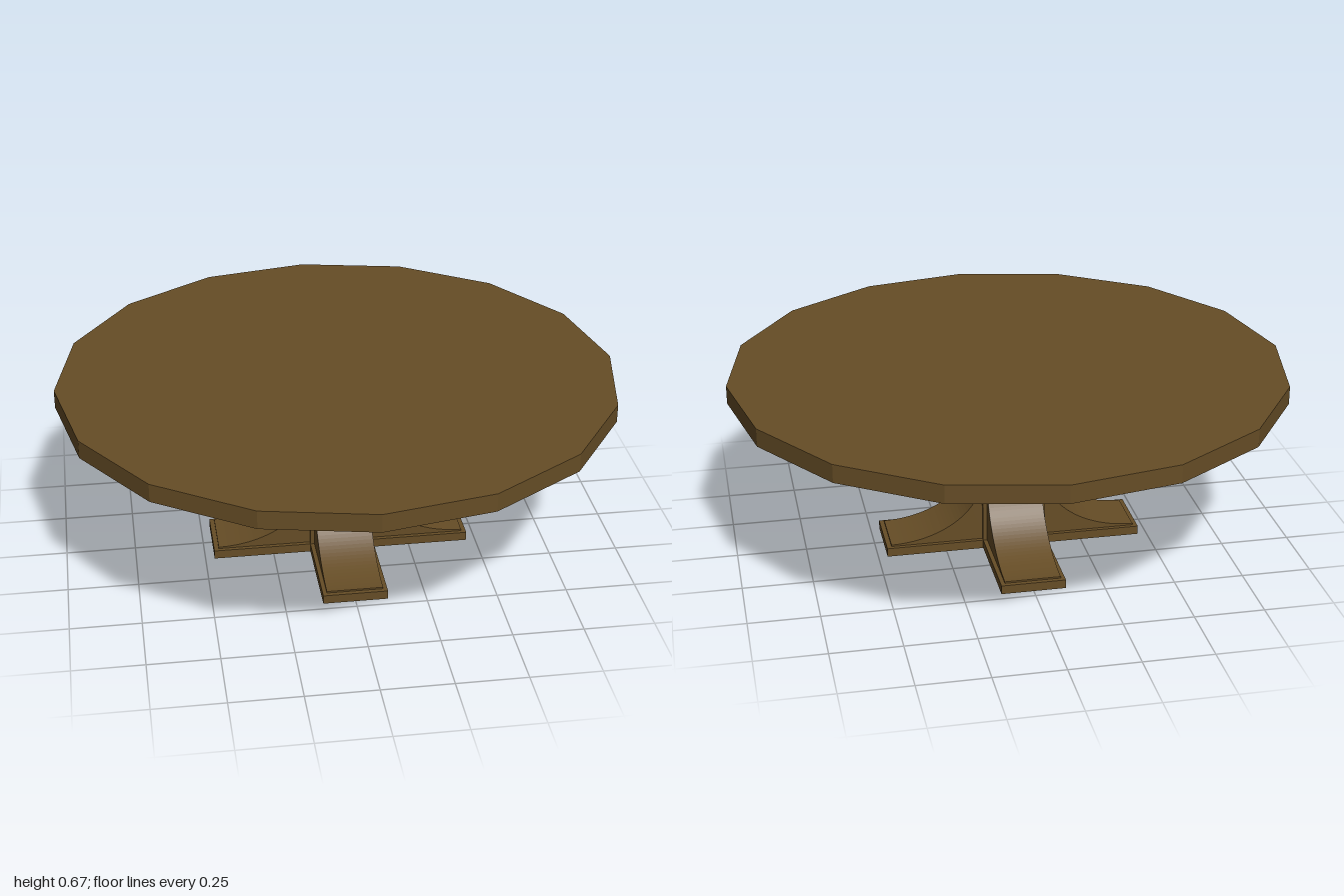
import * as THREE from 'three';

export function createModel() {
  const group = new THREE.Group();
  const wood = new THREE.MeshStandardMaterial({ color: 0x664d26, flatShading: true });

  function add(name, geometry, y = 0, parent = group) {
    const mesh = new THREE.Mesh(geometry, wood);
    mesh.name = name;
    mesh.position.y = y;
    parent.add(mesh);
    return mesh;
  }

  // Sixteen-sided table top
  add('tableTop', new THREE.CylinderGeometry(1, 1, 0.065, 16), 0.6325);

  // Square central column
  add('column', new THREE.BoxGeometry(0.23, 0.6, 0.23), 0.3);

  // Cross-shaped base plate
  const a = 0.115, b = 0.467;
  const cross = new THREE.Shape([
    [a, a], [a, b], [-a, b], [-a, a], [-b, a], [-b, -a],
    [-a, -a], [-a, -b], [a, -b], [a, -a], [b, -a], [b, a],
  ].map(([x, y]) => new THREE.Vector2(x, y)));
  const plate = new THREE.ExtrudeGeometry(cross, { depth: 0.032, bevelEnabled: false });
  add('basePlate', plate.rotateX(-Math.PI / 2));

  // Concave bracket profile, sweeping from the foot tip up to the column
  const profile = new THREE.Shape();
  profile.moveTo(0.1, 0.03);
  profile.lineTo(0.45, 0.03);
  profile.lineTo(0.45, 0.038);
  profile.absellipse(0.45, 0.28, 0.335, 0.242, -Math.PI / 2, -Math.PI, true);
  profile.lineTo(0.1, 0.28);
  const bracket = new THREE.ExtrudeGeometry(profile, {
    depth: 0.2, bevelEnabled: false, curveSegments: 16,
  }).translate(0, 0, -0.1);

  // Four brackets around the column
  ['left', 'back', 'right', 'front'].forEach((side, i) => {
    add(side + 'Bracket', bracket).rotation.y = i * Math.PI / 2;
  });

  return group;
}
